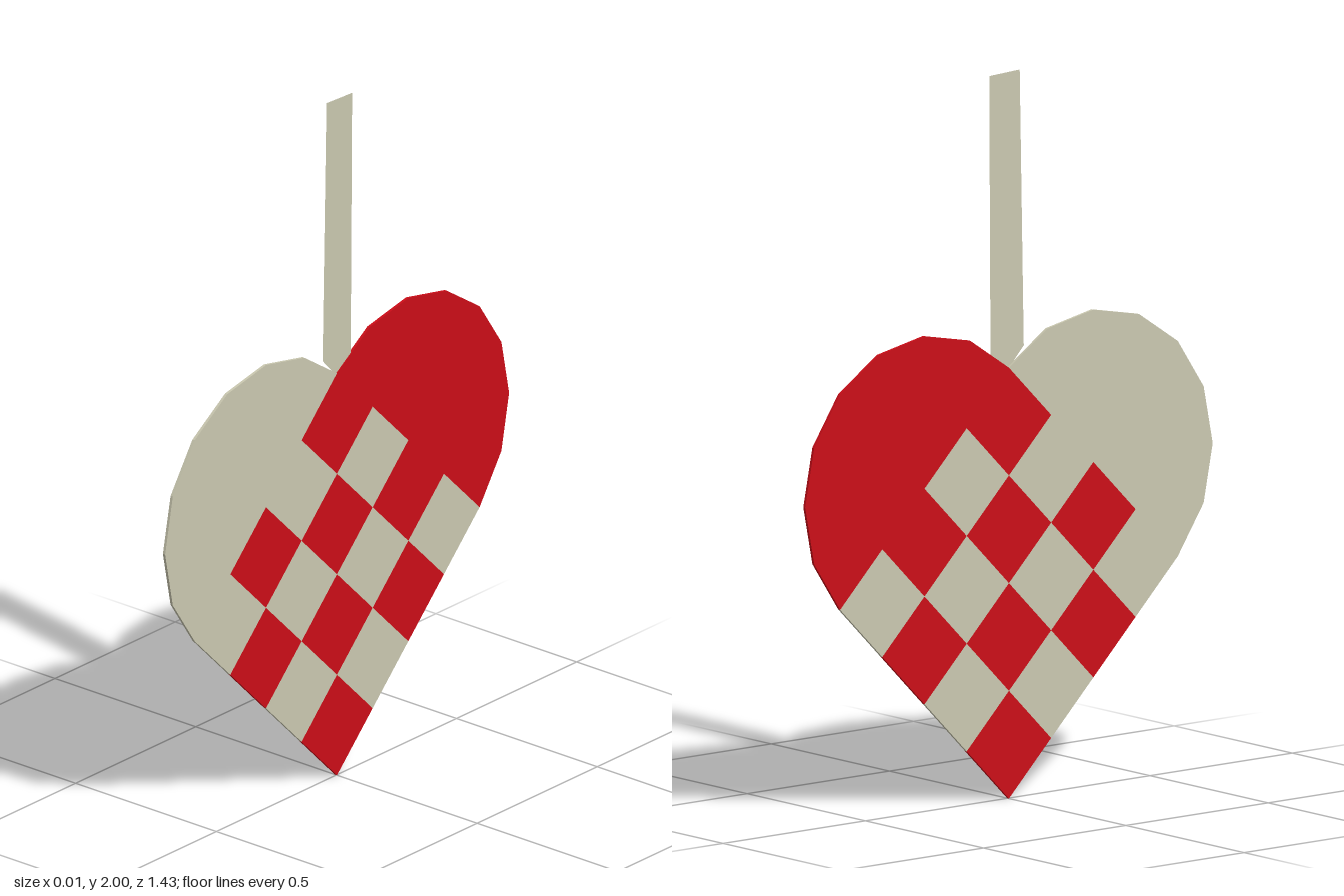
import * as THREE from 'three';
import { mergeGeometries } from 'three/addons/utils/BufferGeometryUtils.js';

const CELL = 0.1483;     // half diagonal of one woven square
const COUNT = 4;         // strips per side
const THICK = 0.008;

export function createModel() {
  const model = new THREE.Group();
  model.name = 'wovenHeart';
  const red = new THREE.MeshStandardMaterial({ color: 0xcc0d18, flatShading: true });
  const cream = new THREE.MeshStandardMaterial({ color: 0xcac8b0, flatShading: true });
  const strapMaterial = cream.clone();
  strapMaterial.side = THREE.DoubleSide;

  const add = (name, geometry, material) => {
    const mesh = new THREE.Mesh(geometry, material);
    mesh.name = name;
    model.add(mesh);
  };

  // Flat paper piece; drawn in XY, then turned so its face looks along +x
  const paper = (points) => new THREE.ExtrudeGeometry(new THREE.Shape(points), { depth: THICK, bevelEnabled: false })
    .translate(0, 0, -0.0055)
    .rotateY(Math.PI / 2);

  // Weave coordinates: i runs up to the right, j up to the left
  const at = (i, j) => new THREE.Vector2((i - j) * CELL, (i + j) * CELL);

  // Rounded lobes: half discs of eight straight segments
  const lobe = (side) => {
    const half = COUNT * CELL / 2;
    const radius = half * Math.SQRT2;
    const points = [];
    for (let k = 0; k <= 8; k++) {
      const a = -Math.PI / 4 + k * Math.PI / 8;
      points.push(new THREE.Vector2(side * (half + radius * Math.cos(a)), 3 * half + radius * Math.sin(a)));
    }
    return paper(points);
  };
  add('redLobe', lobe(1), red);
  add('creamLobe', lobe(-1), cream);

  // Checkered weave
  const squares = [[], []];
  for (let i = 0; i < COUNT; i++) {
    for (let j = 0; j < COUNT; j++) {
      squares[(i + j) % 2].push(paper([at(i, j), at(i + 1, j), at(i + 1, j + 1), at(i, j + 1)]));
    }
  }
  add('redWeave', mergeGeometries(squares[0]), red);
  add('creamWeave', mergeGeometries(squares[1]), cream);

  // Hanging strap: a single thin sheet rising from the notch, leaning slightly
  const strap = new THREE.ShapeGeometry(new THREE.Shape([
    new THREE.Vector2(0, 1.18), new THREE.Vector2(0.06, 1.225), new THREE.Vector2(0.06, 1.995),
    new THREE.Vector2(-0.047, 2), new THREE.Vector2(-0.057, 1.24),
  ]));
  const p = strap.attributes.position;
  for (let k = 0; k < p.count; k++) p.setZ(k, 0.0055 * (p.getY(k) - 1.18) / 0.82);
  strap.rotateY(Math.PI / 2).computeVertexNormals();
  add('hangingStrap', strap, strapMaterial);

  return model;
}
